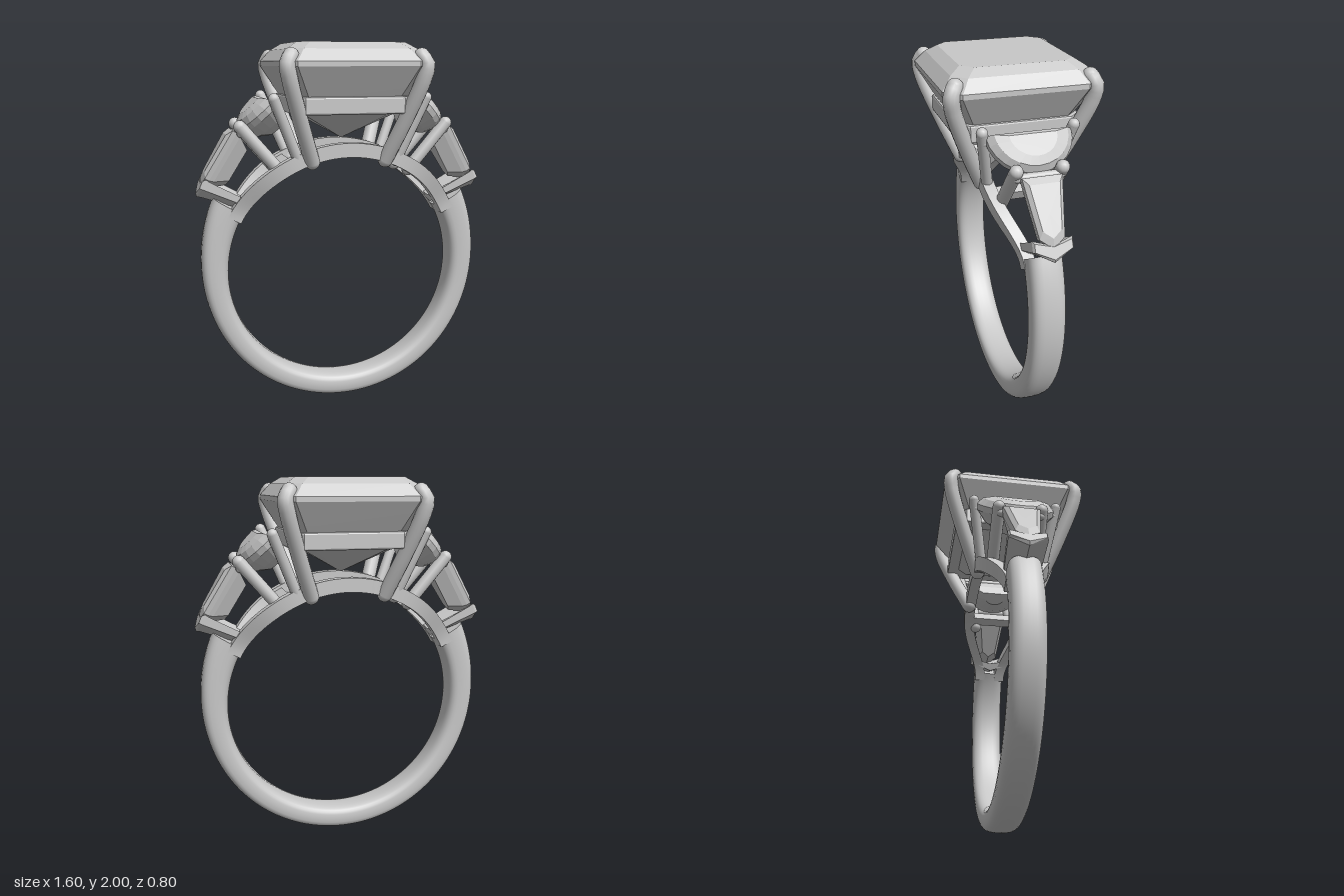
import * as THREE from 'three';
import { toCreasedNormals } from 'three/addons/utils/BufferGeometryUtils.js';

const metal = new THREE.MeshStandardMaterial({ color: 0xc8c8c8 });
metal.name = 'silver grey';
const V = (x, y, z) => new THREE.Vector3(x, y, z);
const CY = 0.77, RI = 0.64; // finger hole centre height and radius

function add(parent, name, geometry) {
  const mesh = new THREE.Mesh(geometry, metal);
  mesh.name = name;
  parent.add(mesh);
  return mesh;
}

// Capped skin over equal-length closed rings; edges sharper than crease stay hard
function loft(rings, crease) {
  const n = rings[0].length, pos = [], idx = [];
  rings.forEach(r => r.forEach(p => pos.push(p.x, p.y, p.z)));
  for (let k = 0; k < rings.length - 1; k++) {
    for (let i = 0; i < n; i++) {
      const a = k * n + i, b = k * n + (i + 1) % n;
      idx.push(a, b, b + n, a, b + n, a + n);
    }
  }
  [rings[0], rings[rings.length - 1]].forEach((ring, end) => {
    const c = ring.reduce((s, p) => s.add(p), V(0, 0, 0)).divideScalar(n);
    const ci = pos.length / 3, o = end ? (rings.length - 1) * n : 0;
    pos.push(c.x, c.y, c.z);
    for (let i = 0; i < n; i++) {
      const a = o + i, b = o + (i + 1) % n;
      if (end) idx.push(ci, a, b); else idx.push(ci, b, a);
    }
  });
  const g = new THREE.BufferGeometry();
  g.setAttribute('position', new THREE.Float32BufferAttribute(pos, 3));
  g.setIndex(idx);
  return toCreasedNormals(g, crease);
}

// Sweep a section of (z, radius) points around the finger hole
function sweep(from, to, steps, section, crease) {
  const rings = [];
  for (let k = 0; k <= steps; k++) {
    const t = THREE.MathUtils.degToRad(from + (to - from) * k / steps);
    rings.push(section(t).map(([z, r]) => V(r * Math.cos(t), CY + r * Math.sin(t), z)));
  }
  return loft(rings, crease);
}

// Faceted stone: a flat outline scaled about (cx, 0) at several heights
function gem(outline, cx, layers) {
  return loft(layers.map(([s, h]) => outline.map(([x, y]) => V(cx + (x - cx) * s, y * s, h))), 0.02);
}

// Local frame: x runs down the shoulder, z points outward at the given angle
function place(mesh, degrees, x, y) {
  const a = THREE.MathUtils.degToRad(degrees), c = Math.cos(a), s = Math.sin(a);
  const m = new THREE.Matrix4().makeBasis(V(s, -c, 0), V(0, 0, -1), V(c, s, 0));
  mesh.applyMatrix4(m.setPosition(x, y, 0));
}

// Round wire with ball ends
function wire(parent, name, points, r) {
  const g = new THREE.Group();
  g.name = name;
  parent.add(g);
  const curve = new THREE.CatmullRomCurve3(points);
  add(g, name + 'Shaft', new THREE.TubeGeometry(curve, points.length > 2 ? 24 : 2, r, 14));
  for (const p of [points[0], points[points.length - 1]]) {
    add(g, name + 'End', new THREE.SphereGeometry(r, 14, 10)).position.copy(p);
  }
}

function centreSetting(root) {
  // Cut-corner square stone
  const oct = (h, c, y) => [[h, c - h], [h, h - c], [h - c, h], [c - h, h], [-h, h - c], [-h, c - h], [c - h, -h], [h - c, -h]]
    .map(([a, b]) => V(a, b, y));
  const layers = [[0.004, 1.5], [0.25, 1.64], [0.315, 1.75], [0.39, 1.88], [0.39, 1.905], [0.34, 1.965], [0.285, 2]];
  add(root, 'centreStone', loft(layers.map(([h, y]) => oct(h, h * 0.2, y)), 0.02).rotateX(-Math.PI / 2));

  // Square basket rail under the stone
  const path = (T, h) => new T(oct(h, 0.05, 0).map(p => new THREE.Vector2(p.x, p.y)));
  const frame = path(THREE.Shape, 0.305);
  frame.holes.push(path(THREE.Path, 0.255));
  const rail = new THREE.ExtrudeGeometry(frame, {
    depth: 0.07, bevelThickness: 0.01, bevelSize: 0.01, bevelSegments: 2,
  });
  add(root, 'basketRail', rail.rotateX(-Math.PI / 2)).position.y = 1.65;

  // Four corner claws
  for (const x of [-1, 1]) {
    for (const z of [-1, 1]) {
      wire(root, 'cornerClaw', [V(0.2 * x, 1.39, 0.18 * z), V(0.275 * x, 1.6, 0.27 * z), V(0.345 * x, 1.82, 0.35 * z),
        V(0.357 * x, 1.89, 0.357 * z), V(0.335 * x, 1.93, 0.335 * z)], 0.041);
    }
  }
}

function shoulder(root, name) {
  const g = new THREE.Group();
  g.name = name;
  root.add(g);

  // Half-moon side stone
  const moon = [];
  for (let i = 0; i <= 12; i++) {
    const a = (i / 12 - 0.5) * Math.PI;
    moon.push([0.21 * Math.cos(a), 0.215 * Math.sin(a)]);
  }
  place(add(g, 'halfMoonStone', gem(moon, 0.07, [[0.35, -0.13], [0.75, -0.085], [1, -0.02], [1, 0.012], [0.85, 0.045], [0.55, 0.062]])),
    46, 0.4, 1.695);

  // Tapered bullet stone
  const bullet = [[0, -0.1], [0.29, -0.062], [0.34, 0], [0.29, 0.062], [0, 0.1]];
  place(add(g, 'taperedStone', gem(bullet, 0.15, [[0.65, -0.12], [0.95, -0.05], [1, -0.025], [1, 0], [0.75, 0.018]])),
    31, 0.6, 1.555);

  // V-shaped end claw, widening outward
  const vee = [[0.06, 0], [0, 0.1], [-0.055, 0.1], [-0.02, 0], [-0.055, -0.1], [0, -0.1]];
  const veeRings = [[0.55, 0.9, 0], [0.9, 1, 0.25], [1, 1, 0.27], [0.75, 0.92, 0.285]];
  place(add(g, 'veeClaw', loft(veeRings.map(([sx, sy, h]) => vee.map(([x, y]) => V(x * sx, y * sy, h))), 0.4)),
    24, 0.52, 1.145);

  // Paired claws and the bars linking them
  for (const z of [-1, 1]) {
    wire(g, 'halfMoonClaw', [V(0.405, 1.72, 0.23 * z), V(0.265, 1.38, 0.165 * z)], 0.029);
    wire(g, 'dividerClaw', [V(0.565, 1.575, 0.115 * z), V(0.35, 1.325, 0.12 * z)], 0.034);
  }
  wire(g, 'halfMoonBar', [V(0.395, 1.67, -0.22), V(0.395, 1.67, 0.22)], 0.02);
  wire(g, 'dividerBar', [V(0.56, 1.54, -0.11), V(0.56, 1.54, 0.11)], 0.022);

  // Cross strip between the gallery rails
  const strip = add(g, 'galleryStrip', new THREE.BoxGeometry(0.055, 0.05, 0.28));
  const a = THREE.MathUtils.degToRad(62);
  strip.position.set(0.672 * Math.cos(a), CY + 0.672 * Math.sin(a), 0);
  strip.rotation.z = a;
  return g;
}

export function createModel() {
  const root = new THREE.Group();
  root.name = 'ring';

  // Band, thicker toward the shoulders
  const power = v => Math.sign(v) * Math.abs(v) ** 0.65;
  add(root, 'band', sweep(-211, 31, 110, t => {
    const thick = 0.127 + 0.055 * ((Math.sin(t) + 1) / 1.5) ** 3;
    return Array.from({ length: 28 }, (_, i) => {
      const a = i / 28 * Math.PI * 2;
      return [0.088 * power(Math.cos(a)), RI + thick * (0.5 + 0.5 * power(Math.sin(a)))];
    });
  }, 0.8));

  // Gallery rails that bow apart under the centre stone
  for (const side of [-1, 1]) {
    add(root, 'galleryRail', sweep(27, 153, 48, t => {
      const z = side * (0.06 + 0.11 * THREE.MathUtils.smoothstep(Math.sin(t), 0.47, 0.93));
      return [[z - 0.03, RI], [z + 0.03, RI], [z + 0.03, RI + 0.075], [z - 0.03, RI + 0.075]];
    }, 0.6));
  }

  centreSetting(root);
  shoulder(root, 'leftShoulder');
  shoulder(root, 'rightShoulder').rotation.y = Math.PI;
  return root;
}
